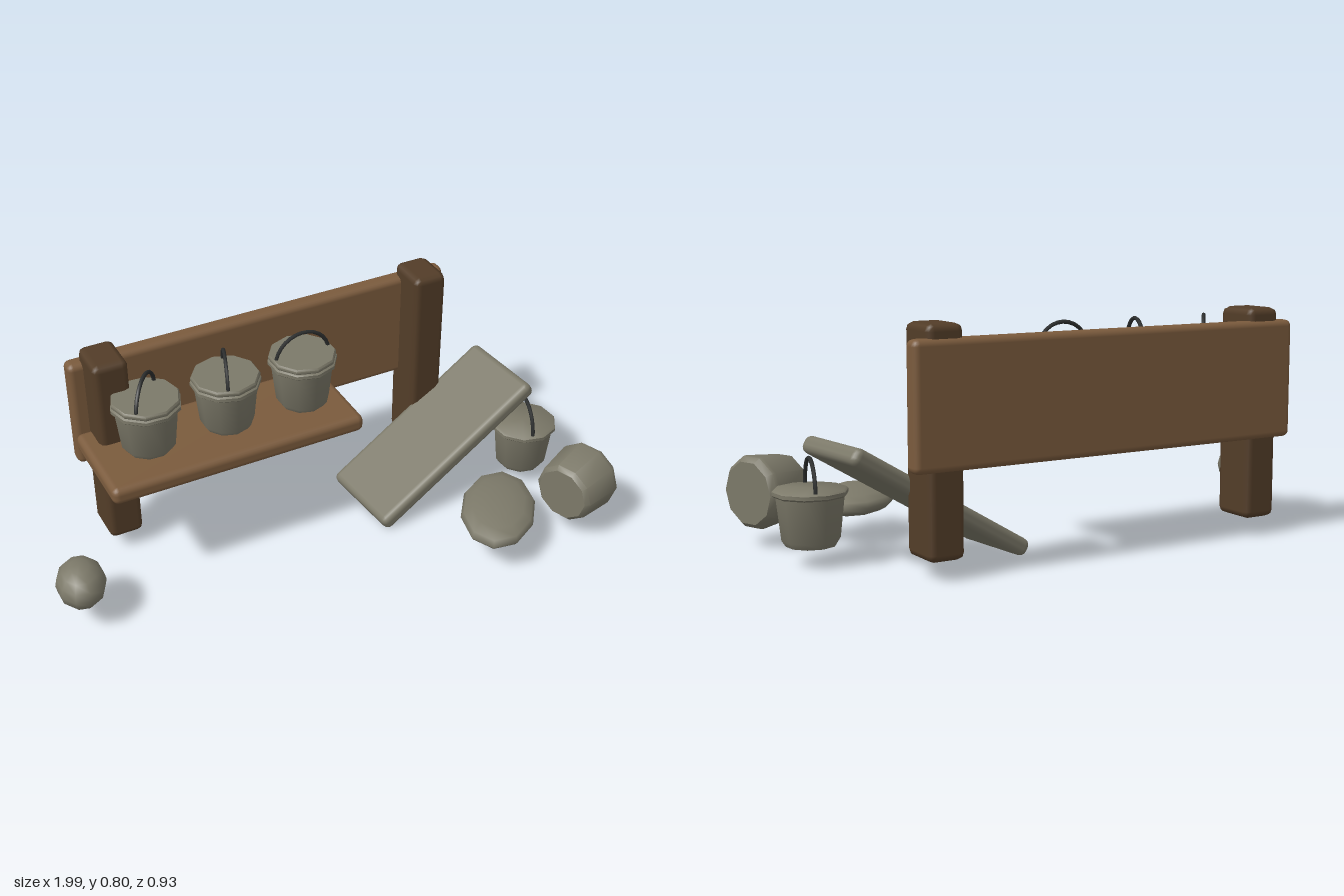
import * as THREE from 'three';
import { RoundedBoxGeometry } from 'three/addons/geometries/RoundedBoxGeometry.js';
import { toCreasedNormals } from 'three/addons/utils/BufferGeometryUtils.js';

const material = (name, color) => {
  const m = new THREE.MeshStandardMaterial({ color });
  m.name = name;
  return m;
};

export function createModel() {
  const plankWood = material('plank wood', 0x7b5b3d);
  const postWood = material('dark post wood', 0x533d28);
  const stone = material('weathered grey', 0x7c7969);
  const iron = material('dark iron', 0x2d2f2f);
  const model = new THREE.Group();
  model.name = 'bucketShelf';

  const add = (parent, name, geometry, mat, x = 0, y = 0, z = 0) => {
    const mesh = new THREE.Mesh(geometry, mat);
    mesh.name = name;
    mesh.position.set(x, y, z);
    parent.add(mesh);
    return mesh;
  };
  const block = (w, h, d, r, steps = 2) => new RoundedBoxGeometry(w, h, d, steps, r);
  // Ten-sided turned shape, smooth around and sharp at the corners of its profile
  const turned = (profile) => toCreasedNormals(
    new THREE.LatheGeometry(profile.map(([r, y]) => new THREE.Vector2(r, y)), 10), 0.75);

  // Posts, back board and shelf
  for (const [name, x] of [['rightPost', -0.642], ['leftPost', 0.595]]) {
    add(model, name, block(0.127, 0.735, 0.164, 0.024, 1), postWood, x, 0.44, -0.376);
  }
  add(model, 'backBoard', block(1.47, 0.41, 0.066, 0.022), plankWood, -0.023, 0.559, -0.438);
  add(model, 'shelf', block(0.945, 0.064, 0.375, 0.024), plankWood, -0.288, 0.459, -0.225);

  // Upright bucket: tapered body, rim, closed top and hoop handle
  const bucket = (name, x, y, z, turn, lidded) => {
    const group = new THREE.Group();
    group.name = name;
    group.position.set(x, y, z);
    group.rotation.y = turn;
    model.add(group);
    add(group, 'body', turned([[0, 0], [0.083, 0], [0.096, 0.02], [0.113, 0.172], [0, 0.172]]), stone);
    add(group, 'rim', turned([[0.1, 0.162], [0.117, 0.162], [0.124, 0.168], [0.124, 0.18],
      [0.117, 0.186], [0, 0.186]]), stone);
    if (lidded) {
      add(group, 'lid', turned([[0.117, 0.184], [0.121, 0.189], [0.121, 0.198], [0.116, 0.204],
        [0, 0.204]]), stone);
    }
    add(group, 'handle', new THREE.TorusGeometry(0.105, 0.007, 6, 14, Math.PI), iron, 0, 0.178, 0);
  };
  bucket('shelfBucketRight', -0.555, 0.491, -0.23, 0.89, true);
  bucket('shelfBucketMiddle', -0.26, 0.491, -0.23, 1.24, true);
  bucket('shelfBucketLeft', 0.035, 0.491, -0.23, 0.02, true);
  bucket('groundBucket', 0.862, 0.075, -0.022, 1.33, false);

  // Bucket lying on its side, mouth towards the left
  const fallen = add(model, 'fallenBucket', turned([[0, -0.093], [0.098, -0.093], [0.113, -0.078],
    [0.128, 0.06], [0.127, 0.073], [0.11, 0.093], [0, 0.093]]), stone, 0.868, 0.2, 0.325);
  fallen.rotation.set(0, 0.37, -Math.PI / 2, 'YZX');

  // Broken slab leaning up to the left
  const slab = add(model, 'leaningSlab', block(0.755, 0.06, 0.345, 0.024), stone, 0.54, 0.22, -0.145);
  slab.rotation.set(0, 0.085, 0.535, 'YZX');

  // Stones on the ground
  const rock = (name, x, y, z, rx, ry, rz, turn) => {
    const mesh = add(model, name, new THREE.SphereGeometry(1, 10, 8), stone, x, y, z);
    mesh.scale.set(rx, ry, rz);
    mesh.rotation.y = turn;
  };
  rock('flatRock', 0.57, 0.148, 0.272, 0.217, 0.048, 0.136, 0.93);
  rock('boulder', -0.91, 0.167, -0.027, 0.087, 0.078, 0.11, -0.25);

  return model;
}
